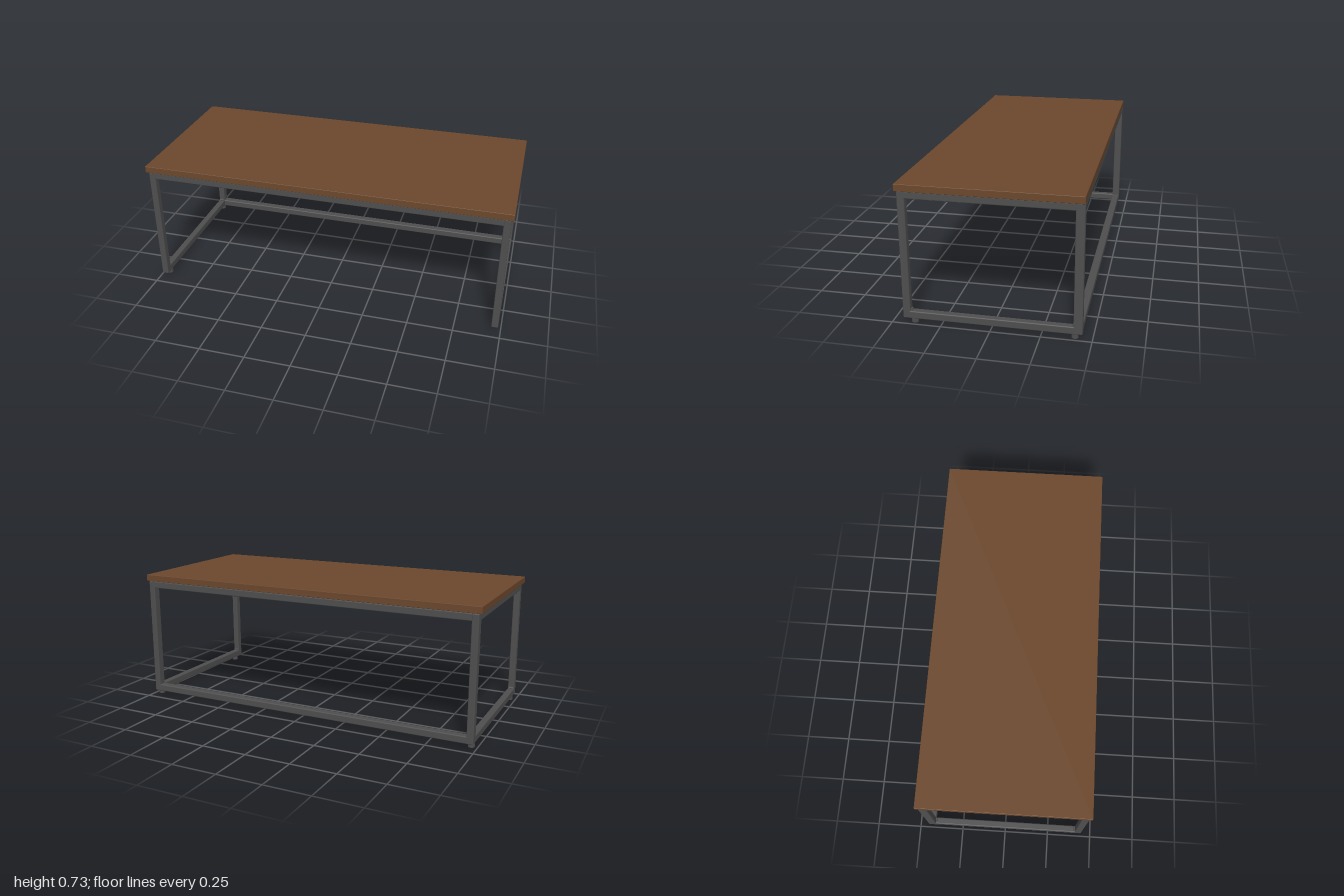
import * as THREE from 'three';
import { RoundedBoxGeometry } from 'three/addons/geometries/RoundedBoxGeometry.js';

export function createModel() {
  const model = new THREE.Group();
  model.name = 'coffeeTable';
  const wood = new THREE.MeshStandardMaterial({ color: 0x6b472c });
  wood.name = 'brown wood';
  const steel = new THREE.MeshStandardMaterial({ color: 0x4e4e4e });
  steel.name = 'dark grey steel';

  // Rounded bar given by its minimum and maximum corners
  function bar(name, parent, material, min, max, radius) {
    const size = max.map((v, i) => v - min[i]);
    const mesh = new THREE.Mesh(new RoundedBoxGeometry(...size, 3, radius), material);
    mesh.position.set(...min.map((v, i) => (v + max[i]) / 2));
    mesh.name = name;
    parent.add(mesh);
  }

  // Table top
  bar('tableTop', model, wood, [-1, 0.692, -0.453], [1, 0.729, 0.453], 0.003);

  const low = 0.022, high = 0.692, tube = 0.04, r = 0.006;
  const front = 0.446, back = -0.452, inner = 0.407;
  const xIn = 0.949, xOut = 0.986;

  // Rectangular end frames with feet
  for (const side of [-1, 1]) {
    const frame = new THREE.Group();
    frame.name = side > 0 ? 'leftEndFrame' : 'rightEndFrame';
    model.add(frame);
    const x0 = side > 0 ? xIn : -xOut;
    const x1 = side > 0 ? xOut : -xIn;
    bar('frontLeg', frame, steel, [x0, low, inner], [x1, high, front], r);
    bar('backLeg', frame, steel, [x0, low, back], [x1, high, -inner], r);
    bar('upperCrossbar', frame, steel, [x0, high - tube, back + 0.01], [x1, high, front - 0.01], r);
    bar('lowerCrossbar', frame, steel, [x0, low, back + 0.01], [x1, low + tube, front - 0.01], r);

    for (const z of [0.389, -0.414]) {
      const foot = new THREE.Mesh(new THREE.CylinderGeometry(0.0175, 0.0175, 0.026, 24), steel);
      foot.position.set(side * 0.967, 0.013, z);
      foot.name = 'foot';
      frame.add(foot);
    }
    // Small weld beads in the lower inside corners
    for (const z of [-inner, inner]) {
      const weld = new THREE.Mesh(new THREE.CylinderGeometry(0.007, 0.007, 0.026, 12), steel);
      weld.rotation.z = Math.PI / 2;
      weld.position.set(side * 0.967, low + tube + 0.002, z);
      weld.name = 'cornerWeld';
      frame.add(weld);
    }
  }

  // Long rails joining the end frames; the lower one only at the back
  const reach = xIn + 0.008;
  bar('frontUpperRail', model, steel, [-reach, high - tube, inner], [reach, high, front - 0.002], r);
  bar('backUpperRail', model, steel, [-reach, high - tube, back + 0.002], [reach, high, -inner], r);
  bar('backLowerRail', model, steel, [-reach, low, back + 0.002], [reach, low + tube, -inner], r);

  return model;
}
